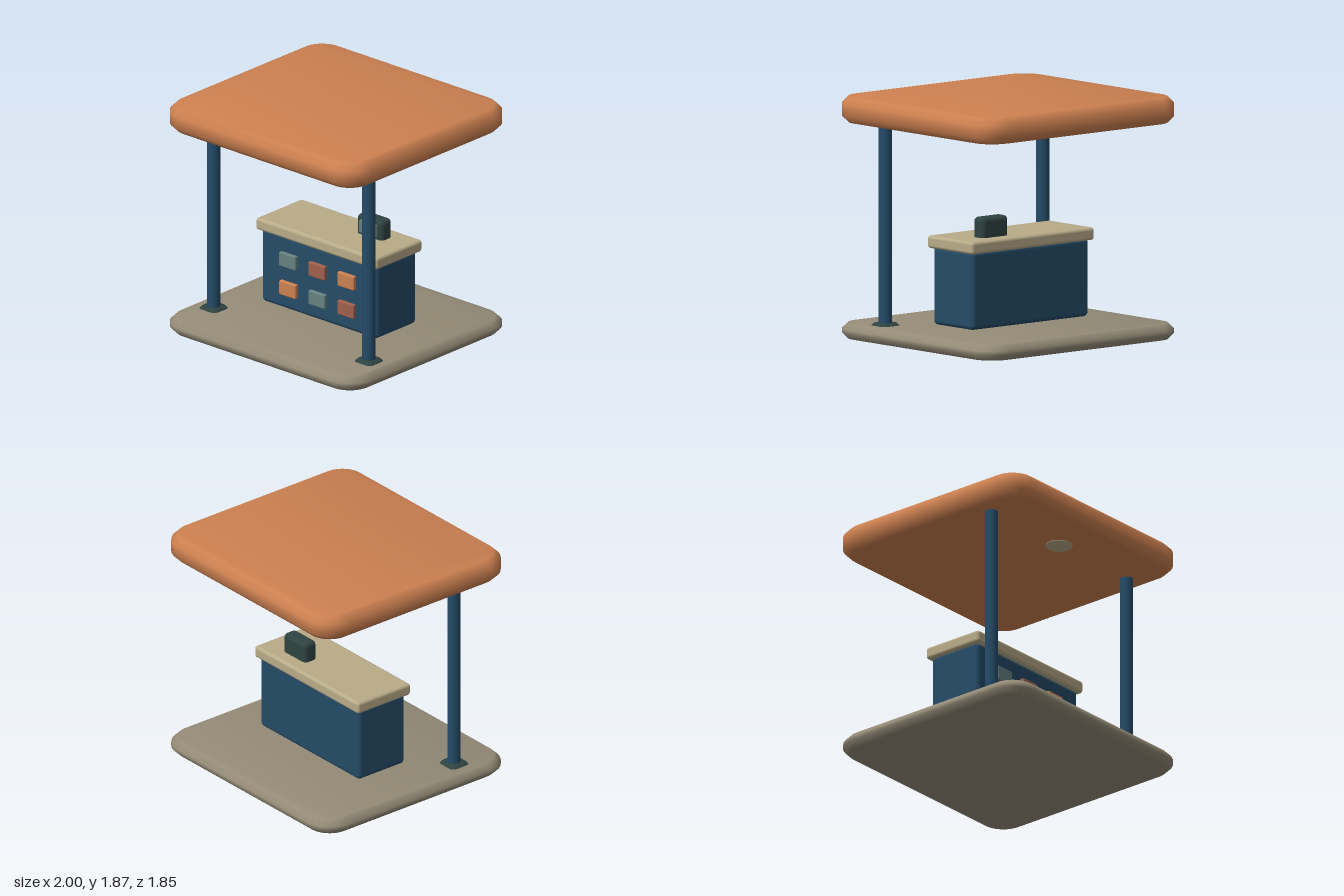
import * as THREE from 'three';
import { toCreasedNormals } from 'three/addons/utils/BufferGeometryUtils.js';
import { RoundedBoxGeometry } from 'three/addons/geometries/RoundedBoxGeometry.js';

const material = (name, color) => {
  const m = new THREE.MeshStandardMaterial({ color });
  m.name = name;
  return m;
};

// Horizontal slab with rounded corners and chamfered rims, standing from y0 to y1
function slabGeometry(halfX, halfZ, y0, y1, radius, bevel) {
  const x = halfX - bevel, z = halfZ - bevel, r = radius - bevel;
  const shape = new THREE.Shape();
  shape.absarc(x - r, z - r, r, 0, Math.PI / 2);
  shape.absarc(-x + r, z - r, r, Math.PI / 2, Math.PI);
  shape.absarc(-x + r, -z + r, r, Math.PI, Math.PI * 1.5);
  shape.absarc(x - r, -z + r, r, Math.PI * 1.5, Math.PI * 2);
  shape.closePath();
  const flat = new THREE.ExtrudeGeometry(shape, {
    depth: y1 - y0 - 2 * bevel, curveSegments: 6,
    bevelEnabled: true, bevelSize: bevel, bevelThickness: bevel, bevelSegments: 1,
  });
  flat.translate(0, 0, bevel).rotateX(-Math.PI / 2).translate(0, y0, 0);
  flat.computeVertexNormals();
  const smooth = toCreasedNormals(flat, 0.9);
  // keep the top and bottom faces flat
  const caps = flat.groups[0];
  const from = flat.attributes.normal, to = smooth.attributes.normal;
  for (let i = caps.start; i < caps.start + caps.count; i++) {
    to.setXYZ(i, from.getX(i), from.getY(i), from.getZ(i));
  }
  return smooth;
}

export function createModel() {
  const model = new THREE.Group();
  model.name = 'marketStall';

  const orange = material('orange', 0xcc8050);
  const stone = material('stone', 0x948b77);
  const sand = material('sand', 0xb8ab88);
  const navy = material('navy', 0x244b67);
  const darkGreen = material('darkGreen', 0x2e4341);
  const greyTeal = material('greyTeal', 0x668080);
  const brick = material('brick', 0x9e604c);

  const add = (name, geometry, mat, x = 0, y = 0, z = 0) => {
    const mesh = new THREE.Mesh(geometry, mat);
    mesh.name = name;
    mesh.position.set(x, y, z);
    model.add(mesh);
    return mesh;
  };
  // Rounded box given by its minimum and maximum corners
  const addBox = (name, mat, [x0, y0, z0], [x1, y1, z1], radius) =>
    add(name, new RoundedBoxGeometry(x1 - x0, y1 - y0, z1 - z0, 3, radius), mat,
      (x0 + x1) / 2, (y0 + y1) / 2, (z0 + z1) / 2);

  // Floor and roof
  add('floor', slabGeometry(1, 0.925, 0, 0.12, 0.22, 0.045), stone);
  add('roof', slabGeometry(1, 0.925, 1.67, 1.87, 0.22, 0.05), orange);

  // Two front posts with feet
  for (const [side, x] of [['left', 0.8], ['right', -0.8]]) {
    add(side + 'Post', new THREE.CylinderGeometry(0.051, 0.051, 1.62, 24), navy, x, 0.88, 0.51);
    add(side + 'Foot', slabGeometry(0.09, 0.088, 0.1, 0.14, 0.045, 0.02), darkGreen, x, 0, 0.51);
  }

  // Ceiling lamp
  add('ceilingLamp', new THREE.CylinderGeometry(0.105, 0.105, 0.02, 24), sand, 0, 1.676, 0.51);

  // Counter
  addBox('counterBody', navy, [-0.595, 0.14, -0.265], [0.595, 0.745, 0.198], 0.035);
  addBox('counterTop', sand, [-0.625, 0.73, -0.297], [0.625, 0.828, 0.23], 0.025);

  // Coloured panels on the counter front
  const rows = [
    [0.553, [greyTeal, brick, orange]],
    [0.318, [orange, greyTeal, brick]],
  ];
  for (const [y, colours] of rows) {
    colours.forEach((mat, i) => {
      const x = (i - 1) * 0.3;
      addBox('frontPanel', mat, [x - 0.085, y - 0.058, 0.17], [x + 0.085, y + 0.058, 0.228], 0.01);
    });
  }

  // Till with its screen
  addBox('till', darkGreen, [0.15, 0.79, -0.183], [0.417, 0.985, -0.063], 0.035);
  addBox('tillScreen', greyTeal, [0.195, 0.848, -0.09], [0.373, 0.95, -0.045], 0.006);

  return model;
}
